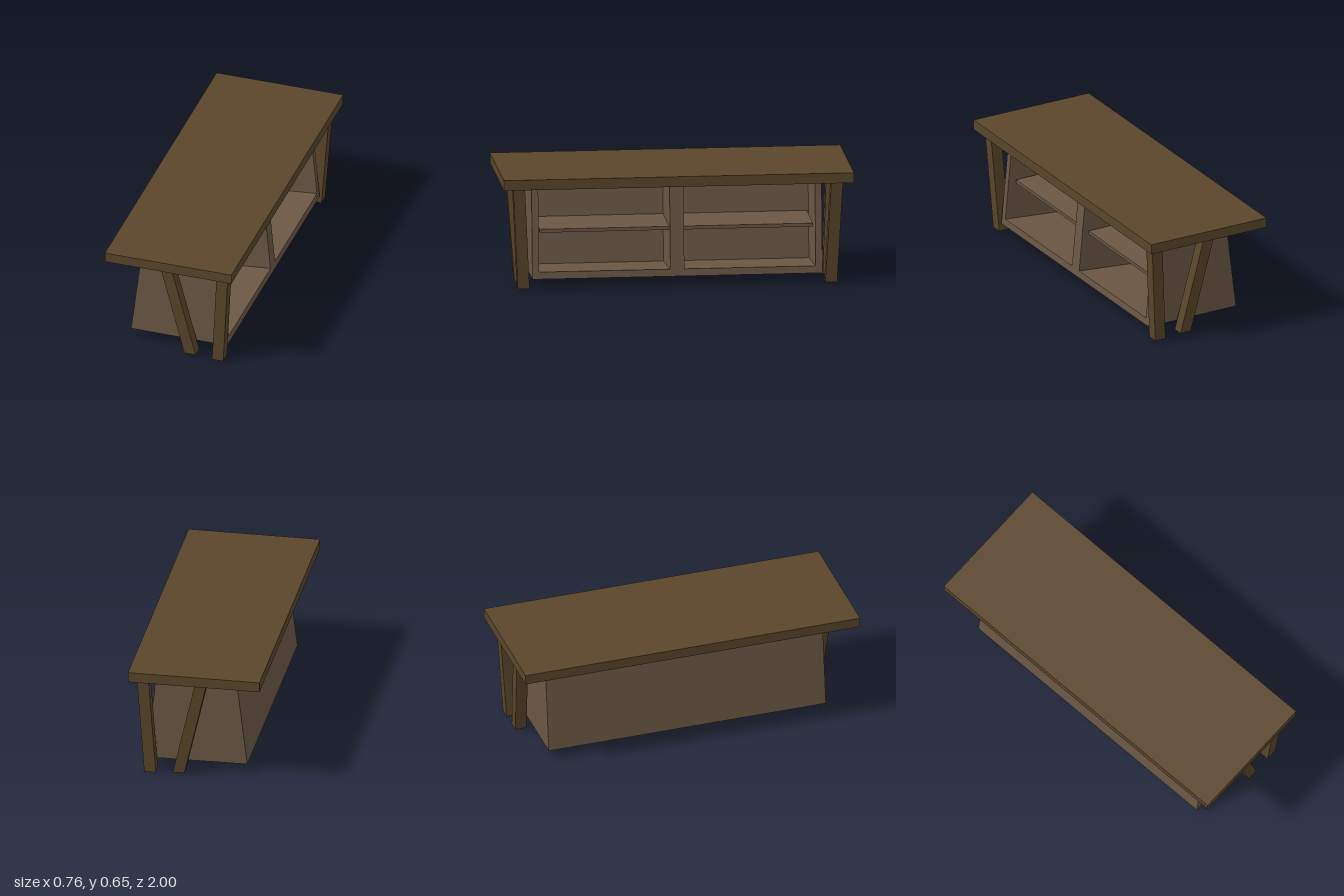
import * as THREE from 'three';

const darkWood = new THREE.MeshStandardMaterial({ color: 0x5a462b, flatShading: true });
const paleWood = new THREE.MeshStandardMaterial({ color: 0x6b5744, flatShading: true });

// Solid with an x-y outline, running from z0 to z1
function prism(name, points, z0, z1, material) {
  const shape = new THREE.Shape(points.map(([x, y]) => new THREE.Vector2(x, y)));
  const geometry = new THREE.ExtrudeGeometry(shape, { depth: z1 - z0, bevelEnabled: false });
  geometry.translate(0, 0, z0);
  const mesh = new THREE.Mesh(geometry, material);
  mesh.name = name;
  return mesh;
}

// Square post leaning from the centre of its foot to the centre of its head
function leaningLeg(name, foot, head) {
  const geometry = new THREE.BoxGeometry(0.067, 1, 0.067);
  const p = geometry.attributes.position;
  for (let i = 0; i < p.count; i++) {
    const end = p.getY(i) > 0 ? head : foot;
    p.setXYZ(i, p.getX(i) + end[0], end[1], p.getZ(i) + end[2]);
  }
  geometry.computeVertexNormals();
  const mesh = new THREE.Mesh(geometry, darkWood);
  mesh.name = name;
  return mesh;
}

export function createModel() {
  const model = new THREE.Group();
  model.name = 'sideboard';

  // Very slightly tilted top
  model.add(prism('tableTop',
    [[-0.38, 0.588], [0.378, 0.592], [0.378, 0.651], [-0.38, 0.646]], -1, 1, darkWood));

  // Tapered cabinet: floor, back and sloping ceiling share one C-shaped section
  const cabinet = new THREE.Group();
  cabinet.name = 'cabinet';
  const outline = [[-0.28, 0.054], [0.295, 0.054], [0.245, 0.591], [-0.215, 0.589]];
  const shell = [[-0.28, 0.054], [0.295, 0.054], [0.291, 0.095], [-0.082, 0.06],
    [-0.128, 0.554], [0.245, 0.591], [-0.215, 0.589]];
  for (const [z0, z1] of [[-0.79, -0.04], [0.04, 0.79]]) {
    cabinet.add(prism('compartmentShell', shell, z0, z1, paleWood));
  }
  for (const [name, z0, z1] of [['endPanel', -0.828, -0.79], ['divider', -0.04, 0.04], ['endPanel', 0.79, 0.828]]) {
    cabinet.add(prism(name, outline, z0, z1, paleWood));
  }

  // One shelf per compartment, set back from the opening
  for (const s of [-1, 1]) {
    const shelf = new THREE.Mesh(new THREE.BoxGeometry(0.34, 0.02, 0.74), paleWood);
    shelf.position.set(0.058, 0.32, s * 0.41);
    shelf.name = 'shelf';
    cabinet.add(shelf);
  }
  model.add(cabinet);

  // A pair of splayed legs at each end
  for (const s of [-1, 1]) {
    model.add(leaningLeg('outerLeg', [0.266, 0, s * 0.878], [0.304, 0.592, s * 0.908]));
    model.add(leaningLeg('innerLeg', [0.101, 0.01, s * 0.88], [-0.034, 0.591, s * 0.915]));
  }
  return model;
}
